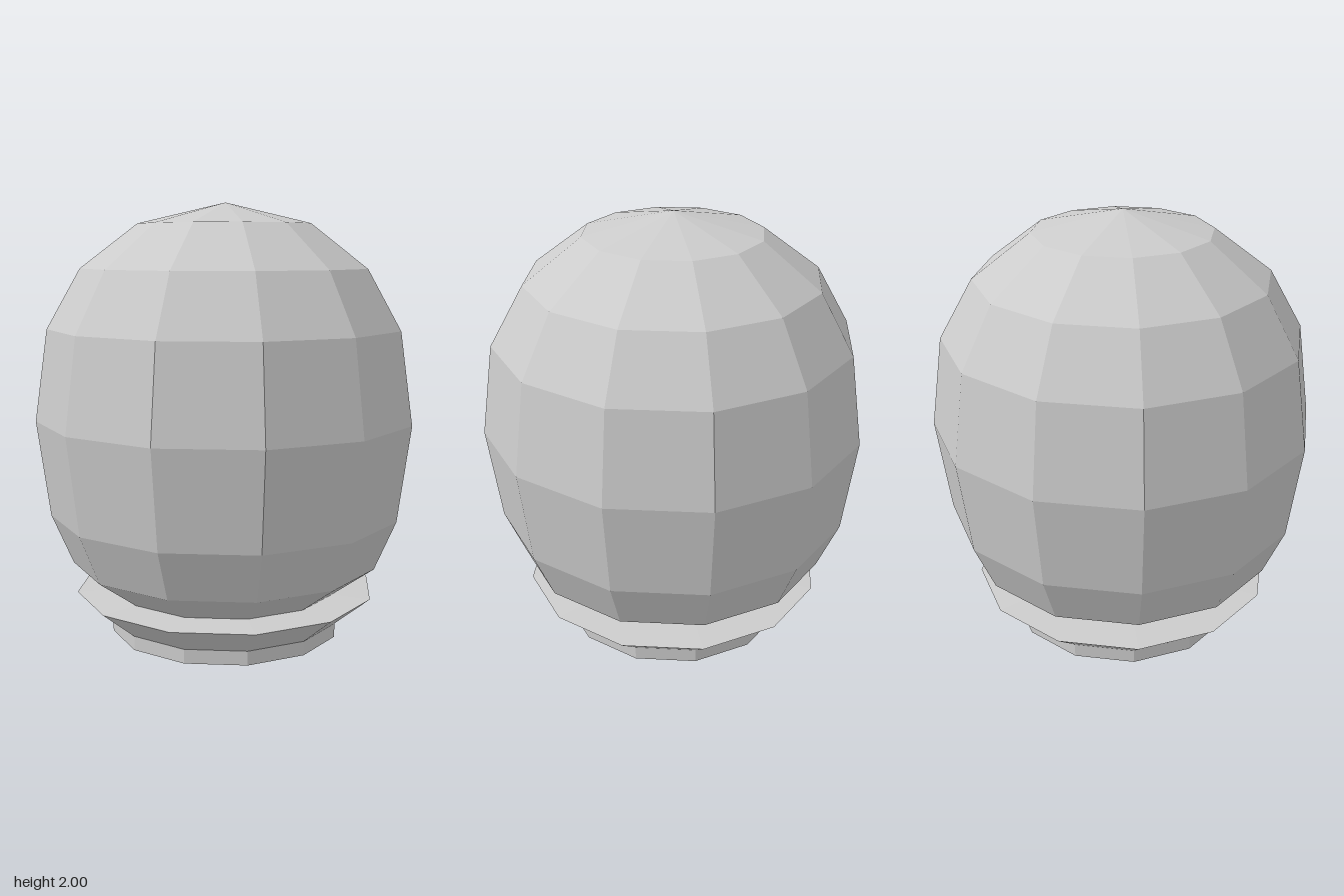
import * as THREE from 'three';

const SIDES = 12;

// Faceted solid of revolution from [radius, height] pairs, listed bottom to top
function turned(name, profile) {
  const points = profile.map(([r, y]) => new THREE.Vector2(r, y));
  const geometry = new THREE.LatheGeometry(points, SIDES).toNonIndexed();
  geometry.computeVertexNormals();
  const material = new THREE.MeshStandardMaterial({ color: 0xcccccc, flatShading: true });
  const mesh = new THREE.Mesh(geometry, material);
  mesh.name = name;
  return mesh;
}

export function createModel() {
  const group = new THREE.Group();
  group.name = 'globeOnBase';

  // Short foot with a flared collar and a flat rim
  group.add(turned('base', [
    [0, 0], [0.54, 0], [0.54, 0.065], [0.705, 0.2], [0.53, 0.207],
  ]));

  // Rounded bulb rising from the collar to a shallow point
  group.add(turned('bulb', [
    [0.53, 0.207], [0.72, 0.345], [0.818, 0.575], [0.877, 1.017],
    [0.818, 1.435], [0.665, 1.705], [0.403, 1.905], [0, 2],
  ]));

  return group;
}
